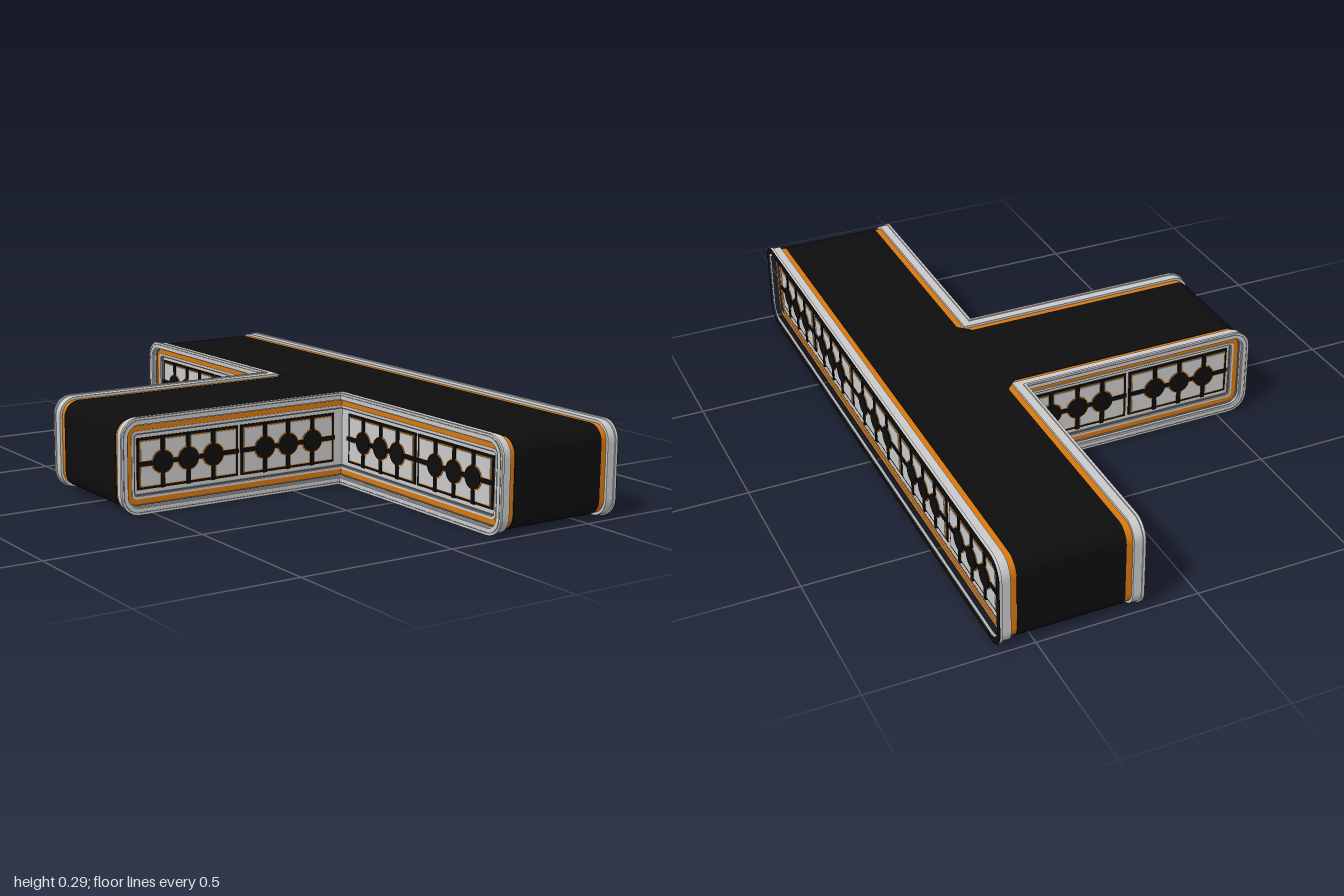
import * as THREE from 'three';

const mat = (name, color) => {
  const m = new THREE.MeshStandardMaterial({ color });
  m.name = name;
  return m;
};

const H = 0.293; // overall height

export function createModel() {
  const black = mat('black', 0x0d0d0d);
  const orange = mat('orange', 0xd8780f);
  const grey = mat('light grey', 0xcacaca);
  const dark = mat('mid grey', 0x747674);

  const add = (parent, name, geo, material) => {
    const m = new THREE.Mesh(geo, material);
    m.name = name;
    parent.add(m);
    return m;
  };

  // Rounded outline in the wall plane; an open wall has no right end cap.
  function outline(L, open, inset) {
    const r = Math.max(0.06 - inset, 0.01);
    const lo = inset, hi = H - inset, right = L - inset;
    const pts = [];
    const arc = (cx, cy, from) => {
      for (let i = 0; i <= 8; i++) {
        const a = from - (i / 8) * Math.PI / 2;
        pts.push(new THREE.Vector2(cx + r * Math.cos(a), cy + r * Math.sin(a)));
      }
    };
    if (open) pts.push(new THREE.Vector2(L, lo));
    arc(lo + r, lo + r, -Math.PI / 2);
    arc(lo + r, hi - r, Math.PI);
    if (open) pts.push(new THREE.Vector2(L, hi));
    else {
      arc(right - r, hi - r, Math.PI / 2);
      arc(right - r, lo + r, 0);
    }
    return pts;
  }

  // Slab or ring from depth d0 to d1; the open end is mitred at 45 degrees.
  function layer(L, open, inset, inner, d0, d1) {
    const outer = outline(L, open, inset);
    let shape;
    if (inner === null) shape = new THREE.Shape(outer);
    else if (open) shape = new THREE.Shape([...outer, ...outline(L, open, inner).reverse()]);
    else {
      shape = new THREE.Shape(outer);
      shape.holes.push(new THREE.Path(outline(L, open, inner)));
    }
    const geo = new THREE.ExtrudeGeometry(shape, { depth: d1 - d0, bevelEnabled: false });
    geo.translate(0, 0, d0);
    if (open) {
      const p = geo.attributes.position;
      for (let i = 0; i < p.count; i++) {
        if (p.getX(i) > L - 1e-5) p.setX(i, L - p.getZ(i));
      }
      geo.computeVertexNormals();
    }
    return geo;
  }

  const box = (x0, x1, y0, y1, z0, z1) =>
    new THREE.BoxGeometry(x1 - x0, y1 - y0, z1 - z0)
      .translate((x0 + x1) / 2, (y0 + y1) / 2, (z0 + z1) / 2);

  // Panel of eight plates around three round ports
  function ventPanel(u0, u1, ports) {
    const g = new THREE.Group();
    g.name = 'ventPanel';
    const y0 = 0.069, y1 = 0.226, mid = 0.1475;
    add(g, 'panelFrame', box(u0, u1, y0, y1, 0.02, 0.029), black);
    const cols = [u0 + 0.002, ...ports, u1 - 0.002], rows = [y0 + 0.002, mid, y1 - 0.002];
    for (let c = 0; c < 4; c++) {
      for (let r = 0; r < 2; r++) {
        const rect = (e) => [cols[c] + e, cols[c + 1] - e, rows[r] + e, rows[r + 1] - e];
        add(g, 'plateEdge', box(...rect(0.006), 0.028, 0.031), orange);
        add(g, 'plate', box(...rect(0.009), 0.03, 0.033), grey);
      }
    }
    const disc = (u, r, d) =>
      new THREE.CylinderGeometry(r, r, 0.006, 24).rotateX(Math.PI / 2).translate(u, mid, d - 0.003);
    add(g, 'crossBar', box(u0, u1, mid - 0.006, mid + 0.006, 0.028, 0.0358), black);
    for (const u of ports) {
      add(g, 'portTrim', disc(u, 0.038, 0.0344), orange);
      add(g, 'portBar', box(u - 0.006, u + 0.006, y0, y1, 0.028, 0.0358), black);
      add(g, 'port', disc(u, 0.034, 0.0375), black);
    }
    return g;
  }

  // Side wall: closed end at u = 0, facing +z
  function sideWall(name, L, open, panels, blackRim) {
    const g = new THREE.Group();
    g.name = name;
    const part = (n, i, o, d0, d1, m) => add(g, n, layer(L, open, i, o, d0, d1), m);
    part('beltEdging', 0.012, 0.05, 0, 0.022, orange);
    part('rail', 0.004, 0.025, 0.02, 0.048, grey);
    part('flange', 0, 0.021, 0.046, 0.054, grey);
    if (blackRim) part('rim', 0, 0.02, 0.054, 0.0555, black);
    else part('rimLine', 0.006, 0.009, 0.054, 0.055, dark);
    part('railShadowLine', 0.023, 0.027, 0.02, 0.04, dark);
    part('faceTrim', 0.026, 0.046, 0.02, 0.034, orange);
    part('panelLip', 0.044, 0.052, 0.02, 0.036, grey);
    part('panelLipLine', 0.052, 0.056, 0.02, 0.031, dark);
    part('backPlate', 0.046, null, 0.01, 0.026, grey);
    for (const p of panels) g.add(ventPanel(...p));
    return g;
  }

  const model = new THREE.Group();
  model.name = 'tJunctionConveyor';

  // Long outer wall with five panels, and the main belt behind it
  const first = [0.07, 0.41, [0.15, 0.24, 0.33]], second = [0.43, 0.785, [0.51, 0.6, 0.69]];
  const flip = ([a, b, c]) => [2 - b, 2 - a, c.map((u) => 2 - u).reverse()];
  const outerWall = sideWall('outerWall', 2, false,
    [first, second, [0.79, 1.21, [0.895, 1, 1.105]], flip(second), flip(first)], true);
  add(outerWall, 'mainBelt', layer(2, false, 0.01, null, -0.325, 0), black);
  outerWall.rotation.y = Math.PI / 2;
  outerWall.position.set(0.55, 0, 1);
  model.add(outerWall);

  // Mirrored halves: branch wall, inner wall, half of the branch belt
  const shortPanels = [[0.065, 0.415, [0.15, 0.238, 0.325]], [0.425, 0.77, [0.51, 0.595, 0.685]]];
  for (const side of [1, -1]) {
    const half = new THREE.Group();
    half.name = side > 0 ? 'frontHalf' : 'backHalf';

    const branchWall = sideWall('branchWall', 0.83, true, shortPanels, false);
    add(branchWall, 'branchBelt', layer(0.83, true, 0.01, null, -0.165, 0), black);
    branchWall.position.set(-0.605, 0, 0.165);

    const innerWall = sideWall('innerWall', 0.835, true, shortPanels, false);
    innerWall.rotation.y = -Math.PI / 2;
    innerWall.scale.x = -1;
    innerWall.position.set(0.225, 0, 1);

    // Chamfer of the belt at the inside corner
    const tri = new THREE.Shape([
      new THREE.Vector2(0.188, 0.165), new THREE.Vector2(0.225, 0.165), new THREE.Vector2(0.225, 0.202),
    ]);
    const corner = new THREE.ExtrudeGeometry(tri, { depth: 0.274, bevelEnabled: false });
    corner.rotateX(Math.PI / 2).translate(0, 0.2835, 0);
    add(half, 'beltCorner', corner, black);

    half.add(branchWall, innerWall);
    half.scale.z = side;
    model.add(half);
  }
  return model;
}
